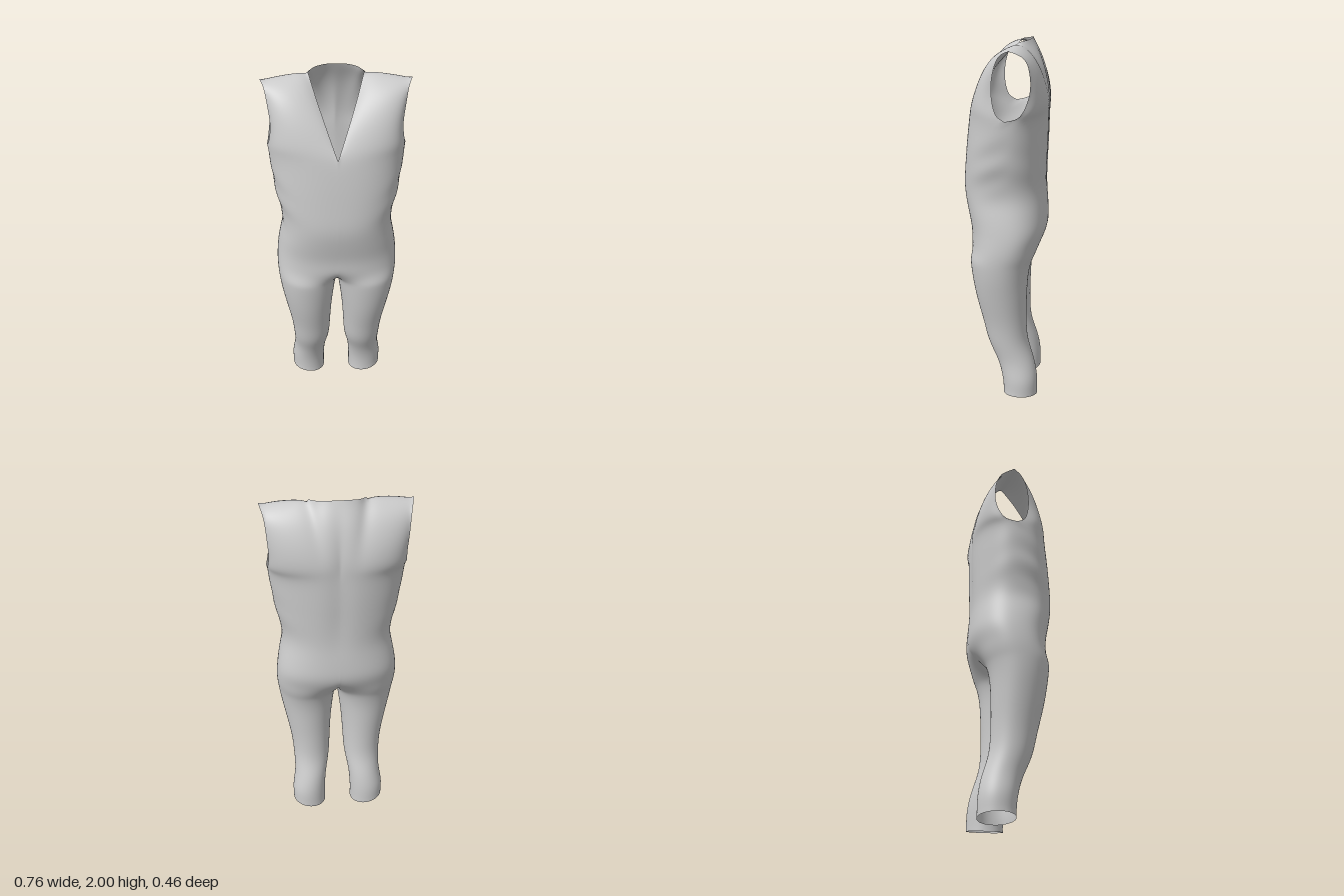
import * as THREE from 'three';
import { mergeVertices } from 'three/addons/utils/BufferGeometryUtils.js';

const F = 26, K = 12, N = 2 * F + K; // columns: front, back neck, whole half ring
const ROWS = 28, CROTCH = 0.82, CHEST = 1.62;
const V = (x, y, z) => new THREE.Vector3(x, y, z);

// height: inner x, outer x, front z, back z
const profile = [
  [0.00, 0.078, 0.272, 0.006, -0.188],
  [0.12, 0.076, 0.275, 0.015, -0.187],
  [0.22, 0.067, 0.257, 0.042, -0.168],
  [0.33, 0.045, 0.259, 0.094, -0.132],
  [0.45, 0.038, 0.268, 0.122, -0.122],
  [0.62, 0.026, 0.298, 0.163, -0.124],
  [0.75, 0.01, 0.322, 0.184, -0.132],
  [0.82, 0, 0.331, 0.192, -0.147],
  [0.90, 0, 0.338, 0.192, -0.188],
  [1.00, 0, 0.333, 0.194, -0.227],
  [1.10, 0, 0.316, 0.214, -0.225],
  [1.21, 0, 0.294, 0.232, -0.218],
  [1.35, 0, 0.324, 0.224, -0.222],
  [1.50, 0, 0.345, 0.21, -0.228],
  [1.62, 0, 0.357, 0.195, -0.229],
];
const section = new THREE.CubicInterpolant(
  profile.map(r => r[0]), profile.flatMap(r => r.slice(1)), 4, []);

const { clamp, lerp, smoothstep } = THREE.MathUtils;
const spow = (v, p) => Math.sign(v) * Math.pow(Math.abs(v), p);

// Half ring: closed leg below the crotch, opening into half a torso above it
function ring(y) {
  let [xin, xout, zf, zb] = section.evaluate(y);
  if (y >= CROTCH) xin = 0;
  const zc = (zf + zb) / 2, rz = (zf - zb) / 2, cx = (xin + xout) / 2, rx = (xout - xin) / 2;
  const upper = smoothstep(y, 1.1, 1.5);
  const points = [];
  for (let i = 0; i <= N; i++) {
    const th = i <= F ? Math.PI / 2 * i / F : Math.PI / 2 * (1 + (i - F) / (N - F));
    const front = i <= F, n = front ? 2.5 : 2.4 - 0.25 * upper;
    let x = cx - rx * Math.cos(2 * th);
    const legZ = spow(Math.sin(2 * th), 0.95);
    const torsoZ = (front ? 1 : -1) * Math.pow(Math.max(0, 1 - (x / xout) ** n), 1 / n);
    // the valley between the legs fills in above the crotch
    const s = clamp((y - CROTCH) / (front ? 0.09 : 0.14), 0, 1);
    const k = lerp(Math.sqrt(s), smoothstep(s, 0, 1), Math.min(1, x / cx));
    let z = zc + rz * lerp(legZ, torsoZ, k);
    // spine groove and side folds
    if (!front) z += 0.01 * Math.exp(-((x / 0.06) ** 2)) * smoothstep(y, 1.1, 1.4);
    const fold = Math.sin(Math.PI * clamp((y - 1.18) / 0.42, 0, 1));
    x += 0.012 * fold * Math.sin(th) ** 8 * Math.sin(46 * y + 20 * Math.abs(z));
    const hem = 0.028 * (x - 0.078) / 0.19 * Math.max(0, 1 - y / 0.15);
    points.push(V(x, y + hem, z));
  }
  return points;
}

// Grid filled between four edges (Coons patch), with a forward bulge near the top
function patch(bottom, top, left, right, bulge) {
  const nu = bottom.length - 1, nv = left.length - 1, rows = [];
  for (let j = 0; j <= nv; j++) {
    const v = j / nv;
    rows.push(bottom.map((b, i) => {
      const u = i / nu;
      return V(0, 0, bulge * Math.sin(Math.PI * u) * Math.sin(Math.PI * v ** 2.5))
        .addScaledVector(b, 1 - v).addScaledVector(top[i], v)
        .addScaledVector(left[j], 1 - u).addScaledVector(right[j], u)
        .addScaledVector(bottom[0], -(1 - u) * (1 - v)).addScaledVector(bottom[nu], -u * (1 - v))
        .addScaledVector(top[0], -(1 - u) * v).addScaledVector(top[nu], -u * v);
    }));
  }
  return rows;
}

const curve = (n, ...pts) => new THREE.CatmullRomCurve3(pts).getSpacedPoints(n);

// Averages each vertex with its neighbours, leaving the open edges in place
function relax(geo, passes) {
  const pos = geo.attributes.position, idx = geo.index.array;
  const near = Array.from({ length: pos.count }, () => new Map());
  const link = (a, b) => near[a].set(b, (near[a].get(b) || 0) + 1);
  for (let f = 0; f < idx.length; f += 3) for (let e = 0; e < 3; e++) {
    const a = idx[f + e], b = idx[f + (e + 1) % 3];
    if (a !== b) { link(a, b); link(b, a); }
  }
  const inner = near.map(m => [...m.values()].every(c => c > 1));
  for (let p = 0; p < passes; p++) {
    const old = near.map((_, i) => V().fromBufferAttribute(pos, i));
    near.forEach((m, i) => {
      if (!inner[i]) return;
      const mean = V(0, 0, 0);
      for (const j of m.keys()) mean.addScaledVector(old[j], 1 / m.size);
      mean.lerp(old[i], 0.5);
      pos.setXYZ(i, mean.x, mean.y, mean.z);
    });
  }
}

// Smooth surface from several grids, mirrored across x = 0
function mirroredSurface(grids) {
  const pos = [], idx = [];
  for (const s of [1, -1]) for (const g of grids) {
    const base = pos.length / 3, w = g[0].length;
    g.forEach(row => row.forEach(p => pos.push(s * p.x, p.y, p.z)));
    for (let j = 0; j < g.length - 1; j++) for (let i = 0; i < w - 1; i++) {
      const a = base + j * w + i, b = a + 1, c = b + w, d = a + w;
      if (s > 0) idx.push(a, b, c, a, c, d);
      else idx.push(a, c, b, a, d, c);
    }
  }
  let geo = new THREE.BufferGeometry();
  geo.setAttribute('position', new THREE.Float32BufferAttribute(pos, 3));
  geo.setIndex(idx);
  geo = mergeVertices(geo, 1e-4);
  relax(geo, 12);
  geo.computeVertexNormals();
  return geo;
}

export function createModel() {
  // Legs, hips and waist
  const lower = [];
  for (let j = 0; j < 44; j++) lower.push(ring(CROTCH * j / 44));
  for (let j = 0; j <= 48; j++) lower.push(ring(CROTCH + (CHEST - CROTCH) * (j / 48) ** 1.4));

  const chest = lower[lower.length - 1];
  const side = chest[F];
  const neck = V(0.14, 1.985, -0.07), tip = V(0.378, 1.963, -0.04), nape = V(0, 2, -0.133);

  // Shoulder seam, neckline and armhole edges
  const shoulder = curve(F, neck, V(0.18, 1.993, -0.066), V(0.27, 1.983, -0.055), tip);
  const vNeck = curve(ROWS, chest[0], V(0.062, 1.785, 0.108), V(0.104, 1.892, 0.025), neck);
  const napeEdge = curve(K, neck, V(0.105, 1.993, -0.11), V(0.05, 1.999, -0.13), nape);
  const armFront = curve(ROWS, side, V(0.347, 1.65, 0.025), V(0.333, 1.75, 0.05),
    V(0.343, 1.86, 0.04), V(0.358, 1.935, 0.008), tip);
  const armBack = curve(ROWS, side, V(0.352, 1.64, -0.085), V(0.343, 1.72, -0.13),
    V(0.347, 1.82, -0.142), V(0.358, 1.92, -0.115), tip);
  const spine = curve(ROWS, chest[N], V(0, 1.75, -0.21), V(0, 1.88, -0.183), nape);

  const frontPanel = patch(chest.slice(0, F + 1), shoulder, vNeck, armFront, 0.022);
  const backTop = [...shoulder].reverse().concat(napeEdge.slice(1));
  const backPanel = patch(chest.slice(F), backTop, armBack, spine, 0);

  const suit = new THREE.Mesh(
    mirroredSurface([lower, frontPanel, backPanel]),
    new THREE.MeshStandardMaterial({ color: 0xcccccc, side: THREE.DoubleSide }));
  suit.name = 'sleevelessBodysuit';

  const group = new THREE.Group();
  group.name = 'bodysuit';
  group.add(suit);
  return group;
}
